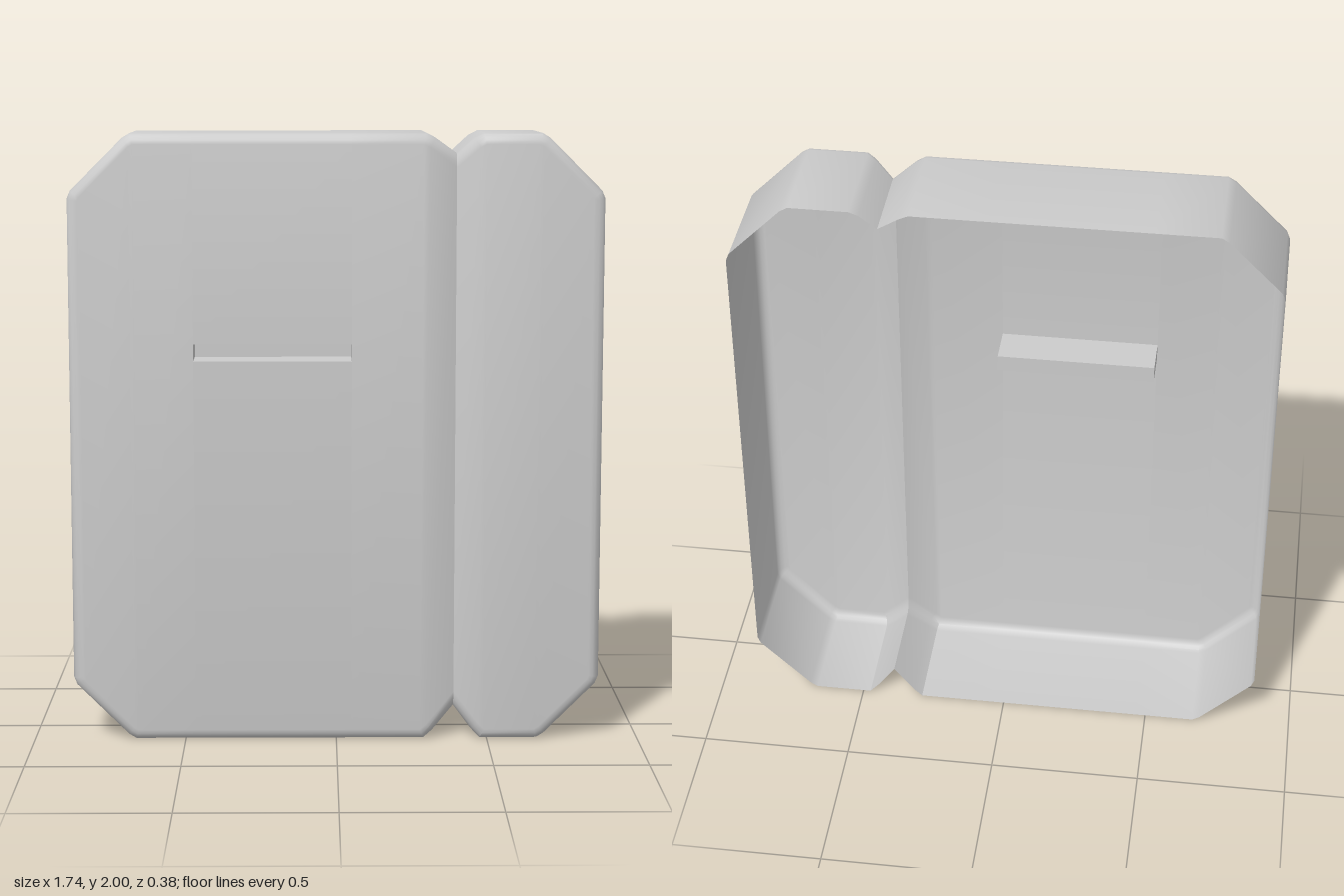
import * as THREE from 'three';
import { toCreasedNormals } from 'three/addons/utils/BufferGeometryUtils.js';

const FRONT = 0.19, BACK = -0.19, BEVEL = 0.035, GROOVE_X = 0.39;
const SLOT = { x0: -0.465, x1: 0.05, y0: 1.265, y1: 1.32, depth: 0.13 };

// Outline columns from right to left side: x, upper y, lower y
const COLUMNS = [
  [-0.87, 1.79, 0.21], [-0.86, 1.815, 0.185], [-0.69, 1.985, 0.015], [-0.665, 2, 0],
  [SLOT.x0, 2, 0], [SLOT.x1, 2, 0],
  [0.29, 2, 0], [0.32, 1.985, 0.025], [GROOVE_X, 1.935, 0.1], [0.445, 1.985, 0.03], [0.475, 2, 0],
  [0.665, 2, 0], [0.69, 1.985, 0.015], [0.86, 1.815, 0.185], [0.87, 1.79, 0.21],
];

// 1 at the bottom of the vertical groove, 0 outside it
const groove = (x) => Math.max(0, 1 - Math.abs(x - GROOVE_X) / 0.085);

// Mitred inset of a counter-clockwise loop
function inset(loop, d) {
  const n = loop.length;
  const normal = (a, b) => new THREE.Vector2(a.y - b.y, b.x - a.x).normalize();
  return loop.map((p, i) => {
    const n1 = normal(loop[(i + n - 1) % n], p);
    const n2 = normal(p, loop[(i + 1) % n]);
    const m = n1.clone().add(n2).multiplyScalar(d / (1 + n1.dot(n2)));
    if (p.x === GROOVE_X) m.x = 0;
    return p.clone().add(m);
  });
}

function shellGeometry() {
  const pos = [];
  const quad = (a, b, c, d) => [a, b, c, a, c, d].forEach((p) => pos.push(...p));
  const outline = [
    ...COLUMNS.map(([x, , y]) => new THREE.Vector2(x, y)),
    ...COLUMNS.map(([x, y]) => new THREE.Vector2(x, y)).reverse(),
  ];

  // Rings: open back rim, then the rounded front edge
  const rings = [outline.map((p) => [p.x, p.y, BACK + 0.017 * groove(p.x)])];
  const STEPS = 4;
  for (let s = 0; s <= STEPS; s++) {
    const a = (s / STEPS) * Math.PI / 2;
    const z = FRONT - BEVEL * (1 - Math.sin(a));
    rings.push(inset(outline, BEVEL * (1 - Math.cos(a)))
      .map((p) => [p.x, p.y, z - 0.04 * groove(p.x)]));
  }
  const n = outline.length;
  for (let r = 0; r + 1 < rings.length; r++) {
    for (let i = 0; i < n; i++) {
      const j = (i + 1) % n;
      quad(rings[r][i], rings[r][j], rings[r + 1][j], rings[r + 1][i]);
    }
  }

  // Front panel in columns, leaving the slot open
  const last = rings[rings.length - 1];
  for (let i = 0; i + 1 < COLUMNS.length; i++) {
    const [bl, br, tr, tl] = [last[i], last[i + 1], last[n - 2 - i], last[n - 1 - i]];
    if (COLUMNS[i][0] === SLOT.x0) {
      const at = (x, y) => [x, y, FRONT];
      quad(bl, br, at(SLOT.x1, SLOT.y0), at(SLOT.x0, SLOT.y0));
      quad(at(SLOT.x0, SLOT.y1), at(SLOT.x1, SLOT.y1), tr, tl);
    } else {
      quad(bl, br, tr, tl);
    }
  }
  const geo = new THREE.BufferGeometry();
  geo.setAttribute('position', new THREE.Float32BufferAttribute(pos, 3));
  return toCreasedNormals(geo, 0.62);
}

// Box without its front face
function slotGeometry() {
  const geo = new THREE.BoxGeometry(SLOT.x1 - SLOT.x0, SLOT.y1 - SLOT.y0, SLOT.depth);
  const index = Array.from(geo.index.array);
  index.splice(24, 6);
  geo.setIndex(index);
  geo.clearGroups();
  geo.translate((SLOT.x0 + SLOT.x1) / 2, (SLOT.y0 + SLOT.y1) / 2, FRONT - SLOT.depth / 2);
  return geo;
}

export function createModel() {
  const group = new THREE.Group();
  group.name = 'cover';
  const material = new THREE.MeshStandardMaterial({ color: 0xcccccc, side: THREE.DoubleSide });
  const add = (name, geometry) => {
    const mesh = new THREE.Mesh(geometry, material);
    mesh.name = name;
    group.add(mesh);
  };
  add('shell', shellGeometry());
  add('slotPocket', slotGeometry());
  return group;
}
